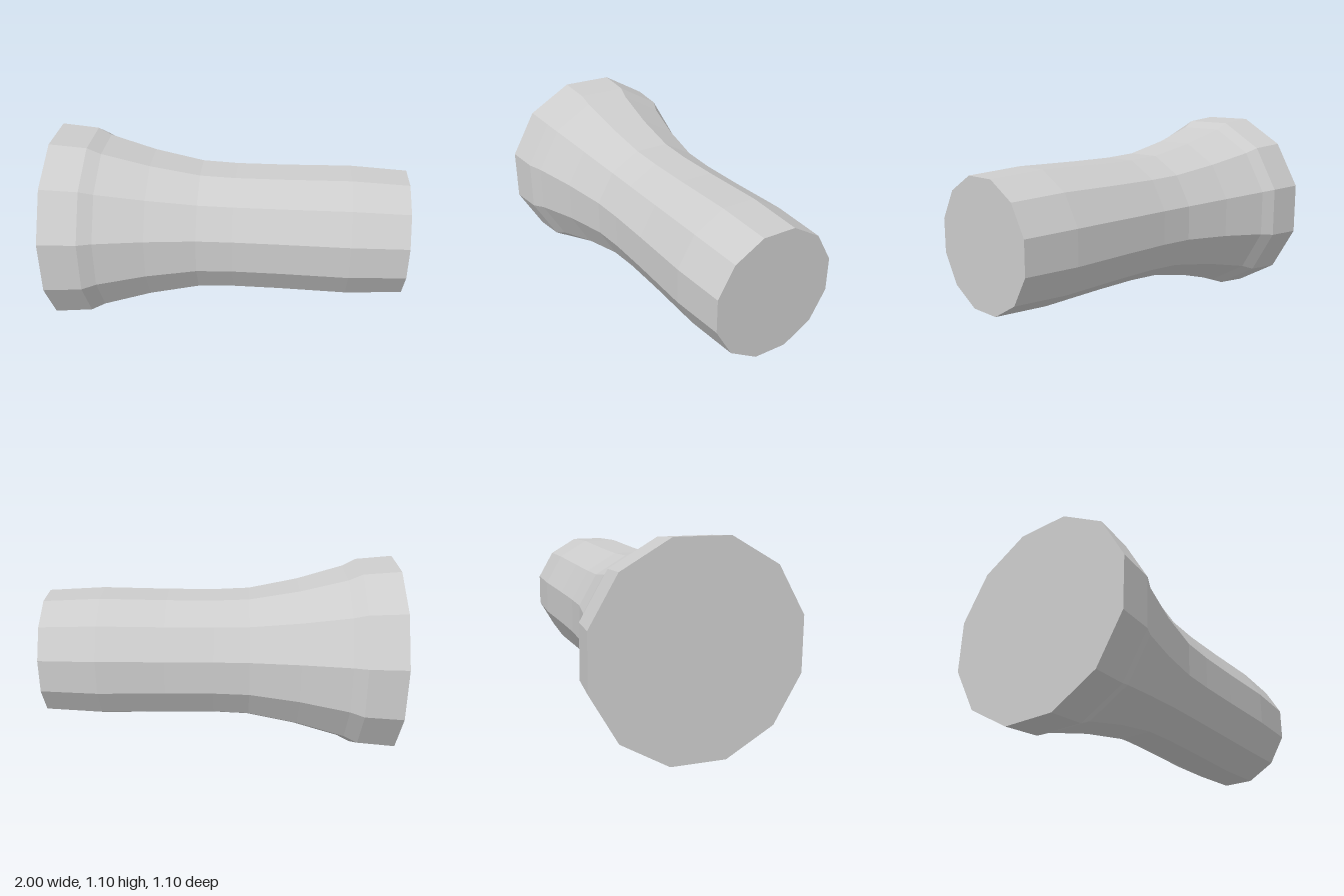
import * as THREE from 'three';

export function createModel() {
  const group = new THREE.Group();
  group.name = 'flaredHandle';

  const grey = new THREE.MeshStandardMaterial({ color: 0xcccccc, flatShading: true });
  grey.name = 'light grey';

  // Profile along the axis: [position, distance from axis to flat side]
  const sides = 12;
  const profile = [
    [-1, 0], [-1, 0.551], [-0.79, 0.533], [-0.715, 0.496], [-0.45, 0.422],
    [-0.17, 0.368], [0.03, 0.359], [0.3, 0.36], [0.68, 0.367], [1, 0.35], [1, 0],
  ];
  const toCorner = 1 / Math.cos(Math.PI / sides);
  const points = profile.map(([x, r]) => new THREE.Vector2(r * toCorner, x));

  // Twelve-sided body with closed ends, turned to lie along x on a flat side
  const geometry = new THREE.LatheGeometry(points, sides);
  geometry.rotateY(Math.PI / sides);
  geometry.rotateZ(-Math.PI / 2);

  const body = new THREE.Mesh(geometry, grey);
  body.name = 'flaredBody';
  body.position.y = 0.551;
  group.add(body);
  return group;
}
